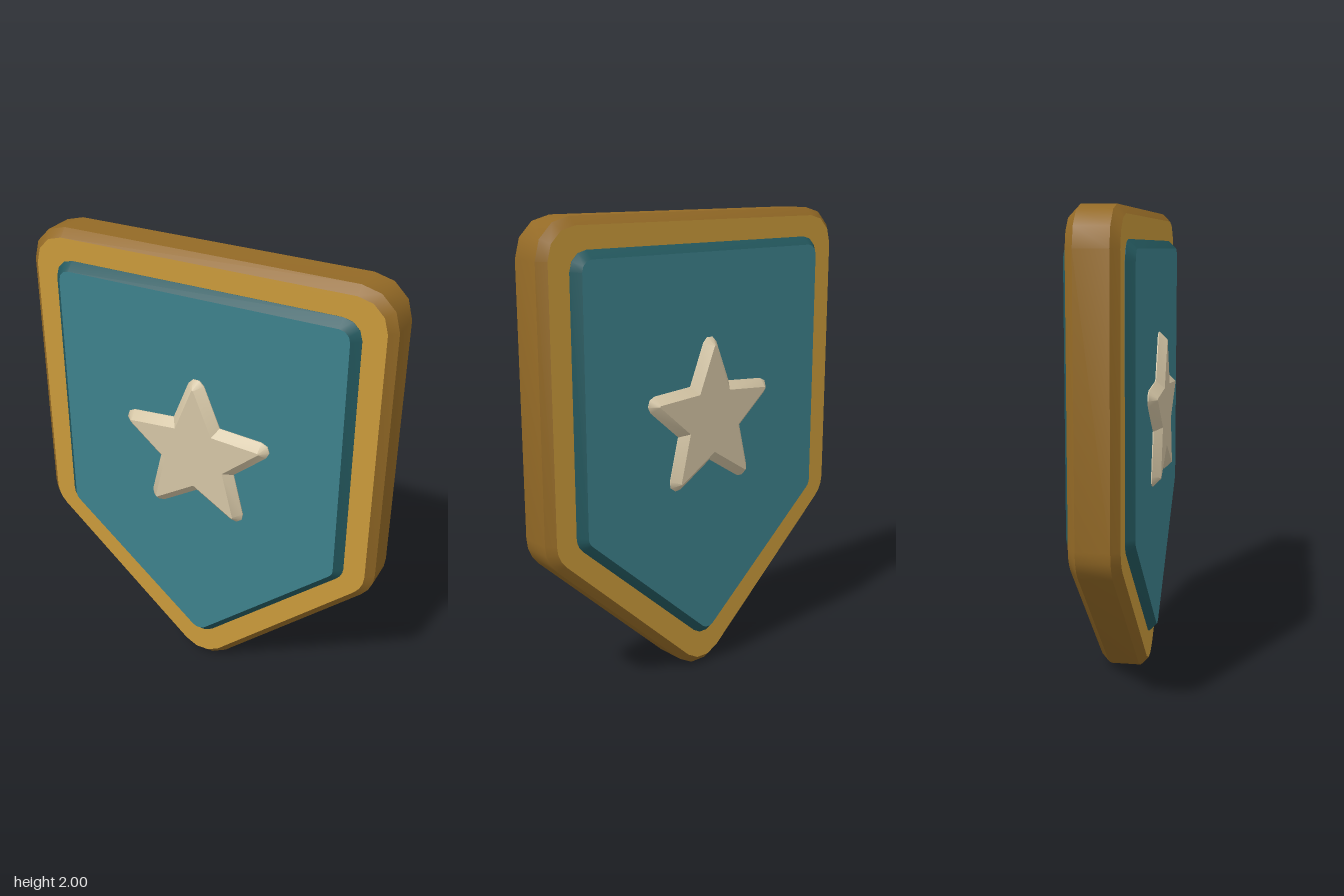
import * as THREE from 'three';
import { toCreasedNormals } from 'three/addons/utils/BufferGeometryUtils.js';

const material = (name, color) => {
  const m = new THREE.MeshStandardMaterial({ color });
  m.name = name;
  return m;
};

// Grows a counter-clockwise outline by d: arcs at outer corners, mitres at inner ones.
function grow(core, d, segments = 3) {
  const out = [];
  core.forEach((p, i) => {
    const before = core[(i + core.length - 1) % core.length];
    const after = core[(i + 1) % core.length];
    const a = p.clone().sub(before).normalize();
    const b = after.clone().sub(p).normalize();
    const start = Math.atan2(-a.x, a.y); // direction of the outward normal
    const turn = Math.atan2(a.cross(b), a.dot(b));
    if (turn > 0) {
      for (let k = 0; k <= segments; k++) {
        const t = start + (turn * k) / segments;
        out.push(new THREE.Vector2(p.x + d * Math.cos(t), p.y + d * Math.sin(t)));
      }
    } else {
      const t = start + turn / 2, r = d / Math.cos(turn / 2);
      out.push(new THREE.Vector2(p.x + r * Math.cos(t), p.y + r * Math.sin(t)));
    }
  });
  return out;
}

// Bevelled slab, symmetric in z, with group 0 for the caps and group 1 for the rim.
function slab(name, core, { wide, narrow, edgeZ, faceZ }, materials) {
  const layers = [[-faceZ, narrow], [-edgeZ, wide], [edgeZ, wide], [faceZ, narrow]];
  const rings = layers.map(([z, d]) =>
    grow(core, d).map((p) => new THREE.Vector3(p.x, p.y, z)));
  const n = rings[0].length;
  const points = [];
  const [back, , , front] = rings;
  for (const [a, b, c] of THREE.ShapeUtils.triangulateShape(grow(core, narrow), [])) {
    points.push(front[a], front[b], front[c], back[a], back[c], back[b]);
  }
  const capCount = points.length;
  for (let l = 0; l < 3; l++) {
    for (let i = 0; i < n; i++) {
      const j = (i + 1) % n, lo = rings[l], hi = rings[l + 1];
      points.push(lo[i], lo[j], hi[j], lo[i], hi[j], hi[i]);
    }
  }
  let geometry = new THREE.BufferGeometry().setFromPoints(points);
  geometry = toCreasedNormals(geometry, 0.6);
  geometry.clearGroups();
  geometry.addGroup(0, capCount, 0);
  geometry.addGroup(capCount, points.length - capCount, 1);
  const mesh = new THREE.Mesh(geometry, materials);
  mesh.name = name;
  return mesh;
}

// Five-sided shield outline: square top, pointed bottom.
const shield = (halfWidth, top, shoulder, tip) => [
  [0, tip], [halfWidth, shoulder], [halfWidth, top], [-halfWidth, top], [-halfWidth, shoulder],
].map(([x, y]) => new THREE.Vector2(x, y));

const star = (centerY, outer, inner) => Array.from({ length: 10 }, (_, i) => {
  const t = Math.PI / 2 + (i * Math.PI) / 5, r = i % 2 ? inner : outer;
  return new THREE.Vector2(r * Math.cos(t), centerY + r * Math.sin(t));
});

export function createModel() {
  const group = new THREE.Group();
  group.name = 'shieldBadge';

  const gold = material('gold', 0xca9a3b);
  const darkGold = material('darkGold', 0x946a26);
  const teal = material('teal', 0x3d818c);
  const darkTeal = material('darkTeal', 0x24595f);
  const ivory = material('ivory', 0xd4c5a5);

  // Thick outer border
  group.add(slab('frame', shield(0.64, 1.84, 0.737, 0.156),
    { wide: 0.16, narrow: 0.126, edgeZ: 0.067, faceZ: 0.1 }, [gold, darkGold]));

  // Raised field on both sides
  group.add(slab('panel', shield(0.592, 1.795, 0.75, 0.233),
    { wide: 0.08, narrow: 0.046, edgeZ: 0.101, faceZ: 0.135 }, [teal, darkTeal]));

  // Bevelled emblem, standing out of front and back
  group.add(slab('star', star(1.145, 0.31, 0.138),
    { wide: 0.038, narrow: 0.004, edgeZ: 0.139, faceZ: 0.173 }, [ivory, ivory]));

  return group;
}
